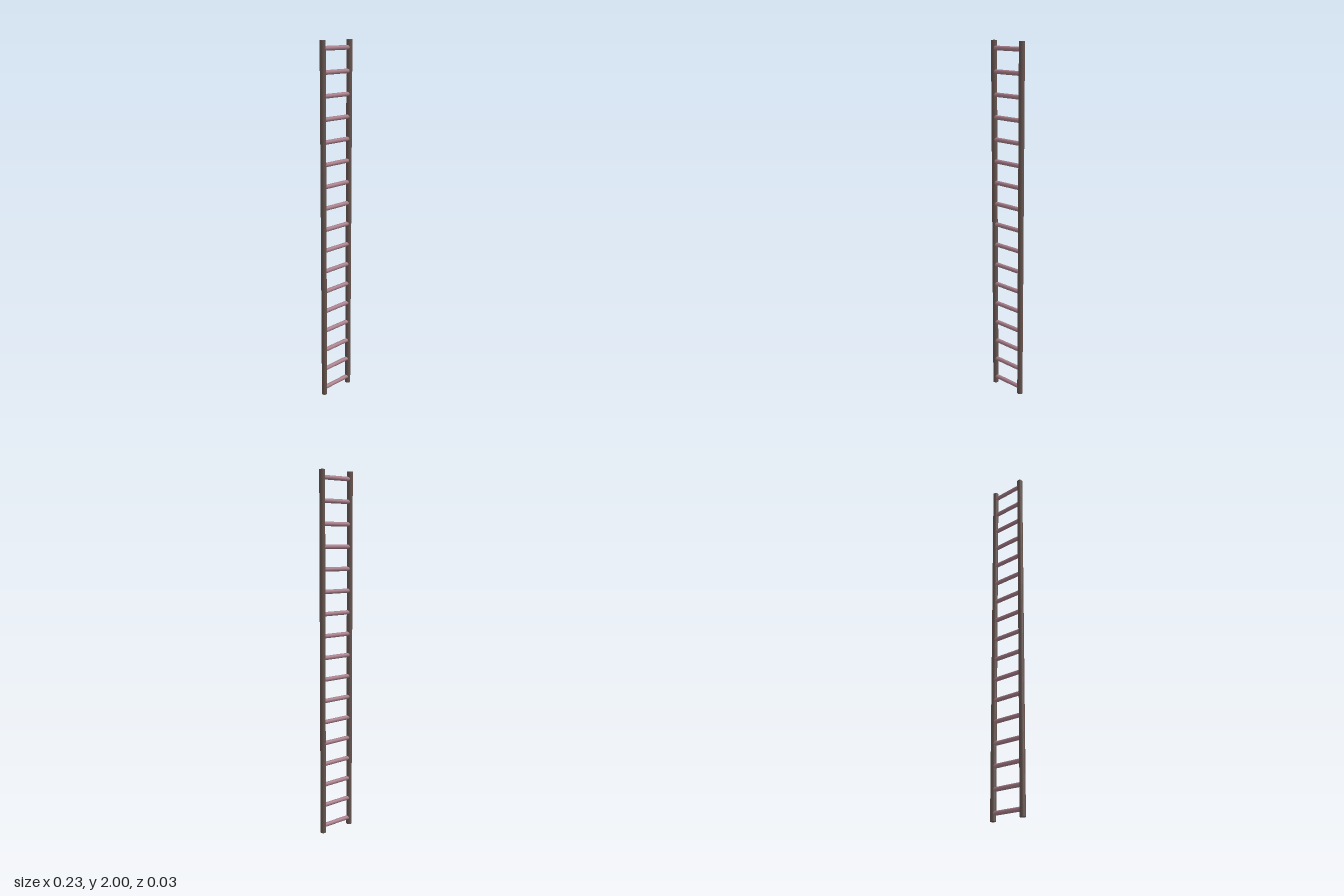
import * as THREE from 'three';

export function createModel() {
  const ladder = new THREE.Group();
  ladder.name = 'ladder';

  const railMaterial = new THREE.MeshStandardMaterial({ color: 0x65544f });
  const rungMaterial = new THREE.MeshStandardMaterial({ color: 0xa67c88 });
  const railX = 0.098;

  // Two upright round rails
  const railGeometry = new THREE.CylinderGeometry(0.0155, 0.0155, 2, 24);
  for (const [name, side] of [['leftRail', 1], ['rightRail', -1]]) {
    const rail = new THREE.Mesh(railGeometry, railMaterial);
    rail.name = name;
    rail.position.set(side * railX, 1, 0);
    ladder.add(rail);
  }

  // Evenly spaced rungs, their ends buried in the rails
  const rungGeometry = new THREE.CylinderGeometry(0.012, 0.012, railX * 2, 20);
  rungGeometry.rotateZ(Math.PI / 2);
  for (let i = 0; i < 17; i++) {
    const rung = new THREE.Mesh(rungGeometry, rungMaterial);
    rung.name = `rung${i + 1}`;
    rung.position.y = 0.04 + i * 0.12;
    ladder.add(rung);
  }

  return ladder;
}
